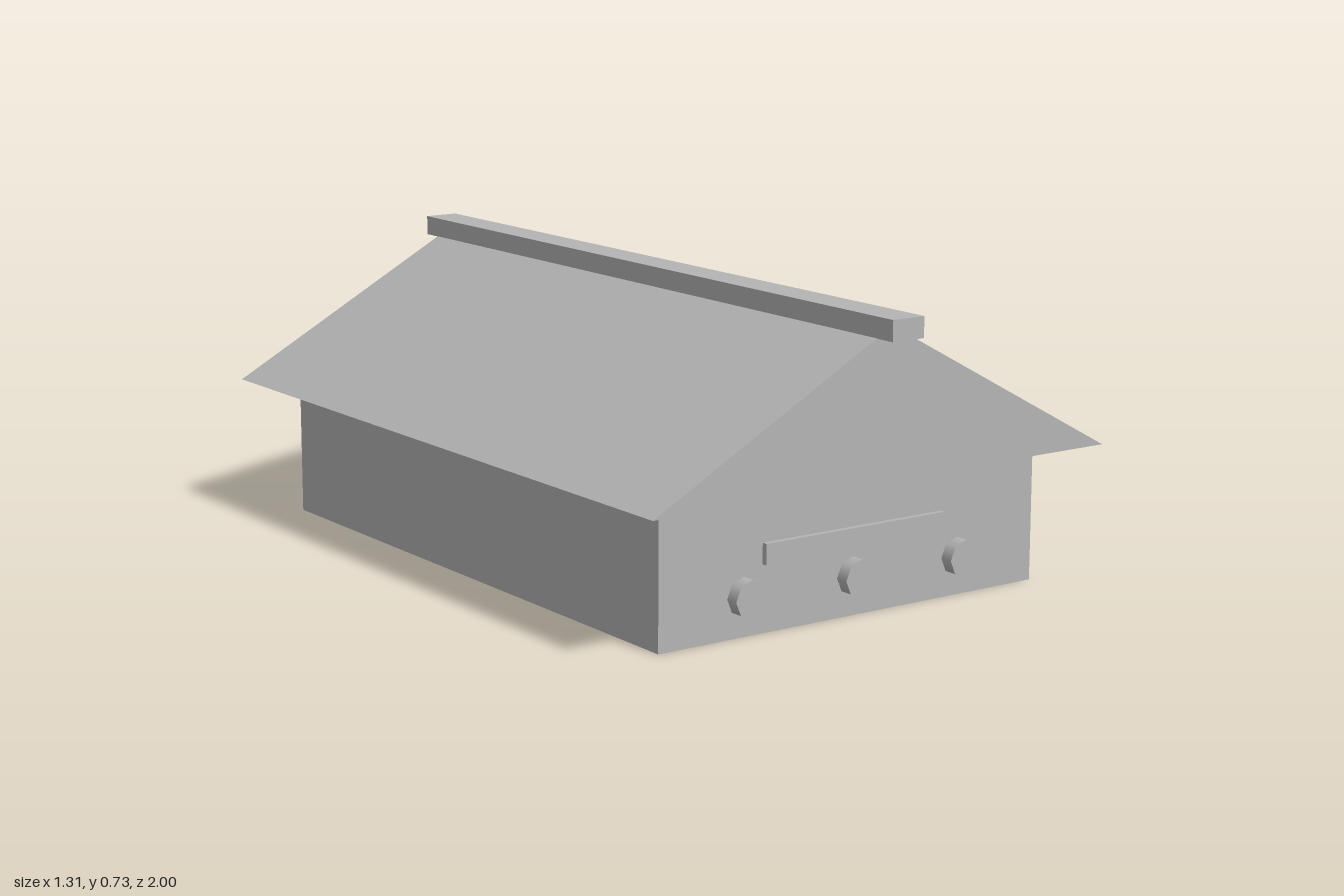
import * as THREE from 'three';

export function createModel() {
  const model = new THREE.Group();
  model.name = 'gabledHouse';
  const grey = new THREE.MeshStandardMaterial({ color: 0xb4b4b4 });
  grey.name = 'plainGrey';

  const add = (name, geometry, x, y, z) => {
    const mesh = new THREE.Mesh(geometry, grey);
    mesh.name = name;
    mesh.position.set(x, y, z);
    model.add(mesh);
    return mesh;
  };

  // Walls
  const wallHeight = 0.345, wallZ = 0.817;
  add('walls', new THREE.BoxGeometry(1.1, wallHeight, wallZ * 2), 0, wallHeight / 2, 0);

  // Gabled roof prism, its apex hidden in the ridge beam
  const gable = new THREE.Shape([
    new THREE.Vector2(-0.655, 0),
    new THREE.Vector2(0.655, 0),
    new THREE.Vector2(0, 0.355),
  ]);
  const roofLength = 1.89;
  add('roof', new THREE.ExtrudeGeometry(gable, { depth: roofLength, bevelEnabled: false }),
    0, wallHeight, -roofLength / 2);

  // Ridge beam
  add('ridgeBeam', new THREE.BoxGeometry(0.09, 0.05, 2), 0, 0.7, 0);

  // Matching details on both gable ends
  for (const side of [1, -1]) {
    const end = side > 0 ? 'front' : 'back';
    add(end + 'Rail', new THREE.BoxGeometry(0.524, 0.05, 0.02), 0, 0.187, side * (wallZ + 0.004));
    for (const x of [-0.315, 0, 0.315]) {
      const knob = new THREE.CylinderGeometry(0.046, 0.046, 0.04, 8);
      knob.rotateX(Math.PI / 2);
      add(end + 'Knob', knob, x, 0.095, side * (wallZ + 0.014));
    }
  }
  return model;
}
